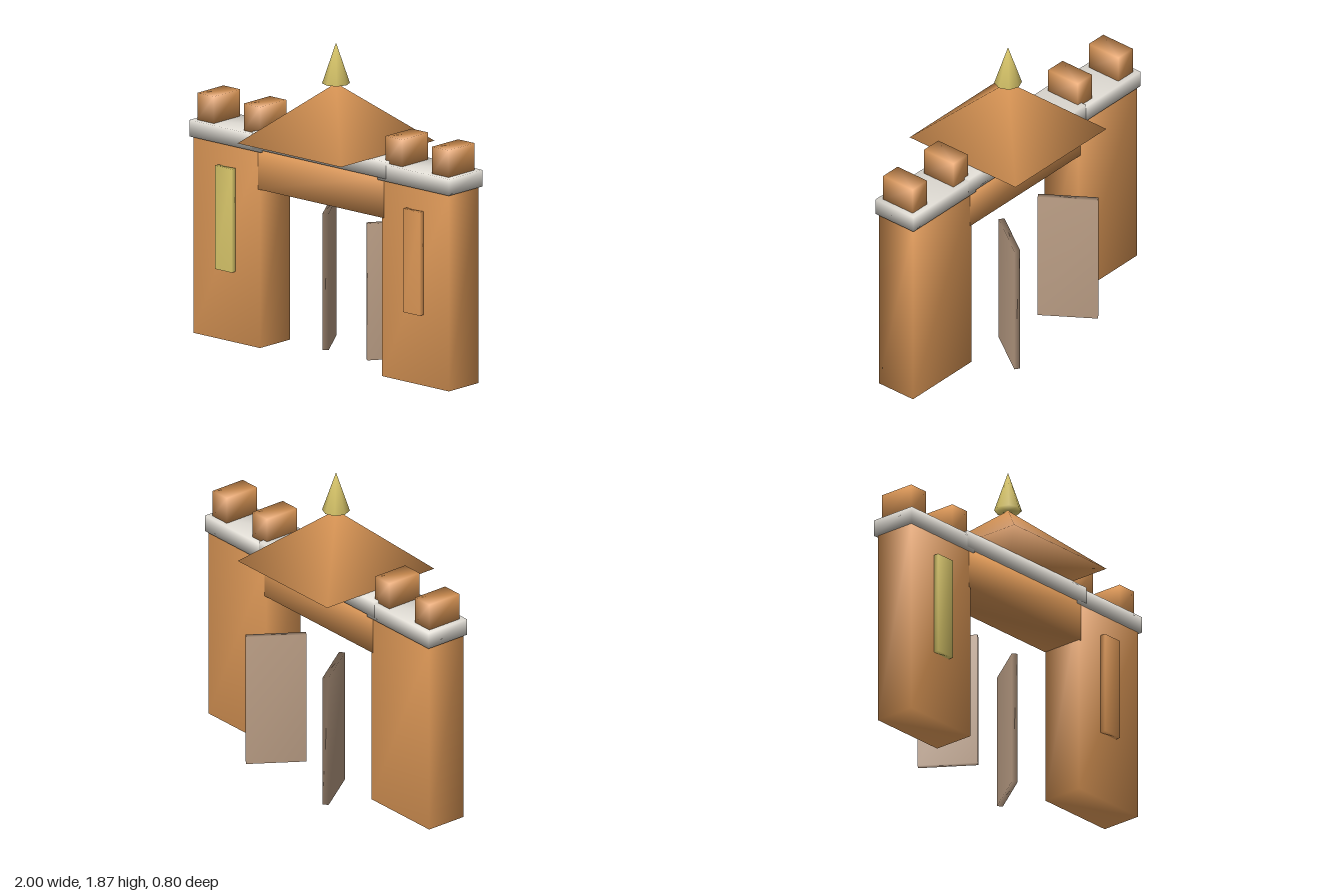
import * as THREE from 'three';
import { mergeVertices } from 'three/addons/utils/BufferGeometryUtils.js';

const paint = (color) => new THREE.MeshStandardMaterial({ color });

// Weld shared corners so shading flows softly around every edge
function soften(geometry) {
  geometry.deleteAttribute('normal');
  geometry.deleteAttribute('uv');
  const welded = mergeVertices(geometry, 1e-4);
  welded.computeVertexNormals();
  return welded;
}

export function createModel() {
  const model = new THREE.Group();
  model.name = 'gatehouse';
  const clay = paint(0xe09a58);
  const stone = paint(0xe2ded6);
  const gold = paint(0xdcc96c);
  const wood = paint(0xbc9f86);

  function add(name, geometry, material, x, y, z = 0) {
    const mesh = new THREE.Mesh(soften(geometry), material);
    mesh.name = name;
    mesh.position.set(x, y, z);
    model.add(mesh);
    return mesh;
  }
  // Box given by its width, bottom, top and depth
  const block = (name, material, x, width, bottom, top, depth, z = 0) =>
    add(name, new THREE.BoxGeometry(width, top - bottom, depth), material, x, (bottom + top) / 2, z);

  for (const side of [-1, 1]) {
    const label = side > 0 ? 'left' : 'right';

    // Tower with its stone cap and two battlements
    block(label + 'Tower', clay, side * 0.728, 0.515, 0, 1.165, 0.256);
    block(label + 'TowerCap', stone, side * 0.725, 0.55, 1.165, 1.263, 0.288);
    for (const x of [0.547, 0.905]) {
      block(label + 'Battlement', clay, side * x, 0.127, 1.263, 1.423, 0.224);
    }

    // Tall panel on the front of the tower, gilded on one side only
    block(label + 'Panel', side > 0 ? clay : gold, side * 0.725, 0.13, 0.42, 1.033, 0.04, 0.141);

    // Open door leaf
    const door = block(label + 'Door', wood, side * 0.258, 0.035, 0, 0.81, 0.347, -0.232);
    door.rotation.y = -side * 0.6;
  }

  // Beam over the passage and its stone trim
  block('beam', clay, 0, 0.97, 0.94, 1.18, 0.26);
  block('beamTrim', stone, 0, 1.03, 1.18, 1.28, 0.292);

  // Square pyramid roof
  const roof = new THREE.ConeGeometry(0.4 * Math.SQRT2, 0.35, 4).rotateY(Math.PI / 4);
  add('roof', roof, clay, 0, 1.455);

  // Gilded spire
  add('spire', new THREE.ConeGeometry(0.08, 0.24, 8), gold, 0, 1.75);

  return model;
}
